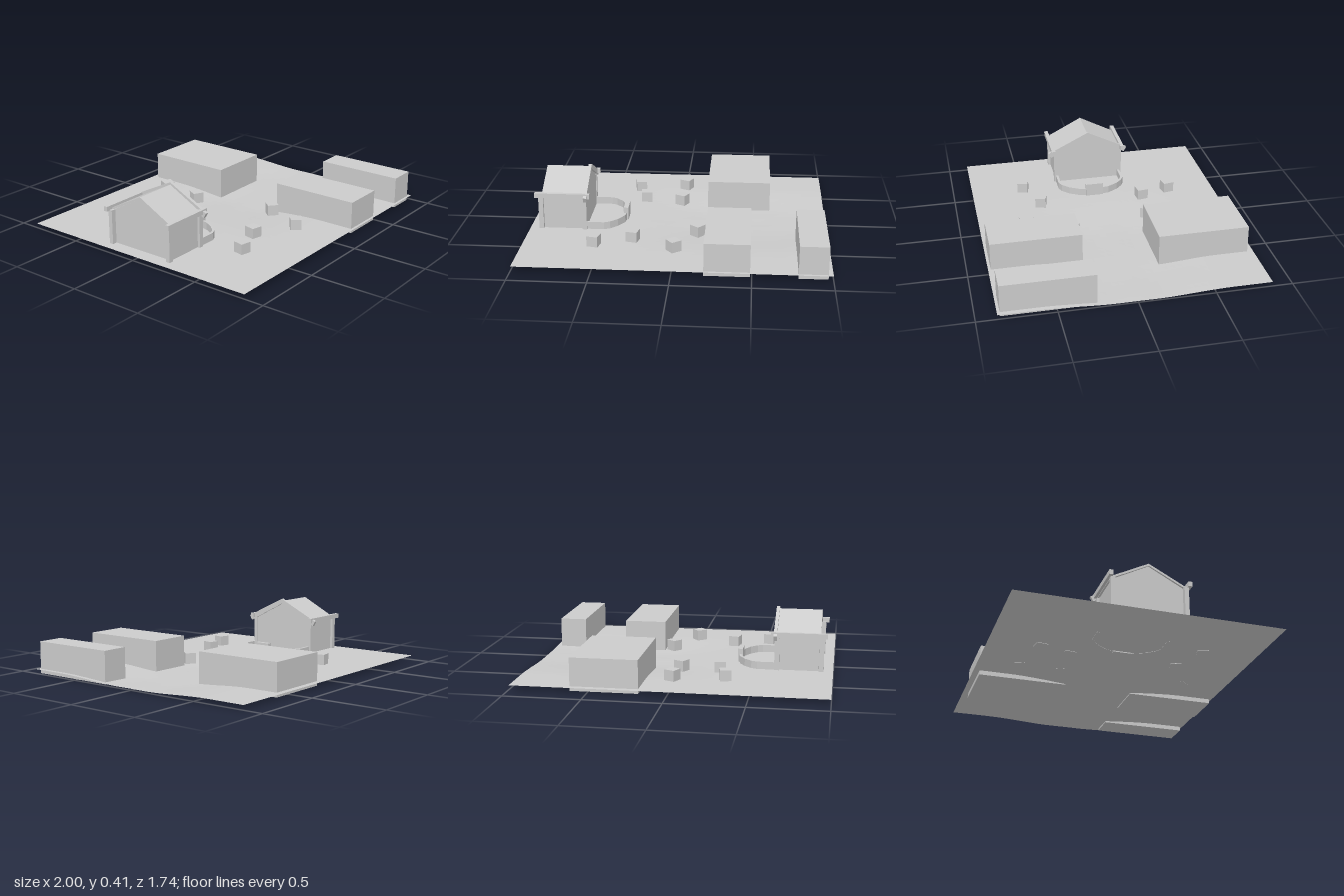
import * as THREE from 'three';

const mat = new THREE.MeshStandardMaterial({ color: 0xcccccc, flatShading: true });
const groundMat = new THREE.MeshStandardMaterial({ color: 0xcccccc, flatShading: true, side: THREE.DoubleSide });
const GROUND = 0.035;

// Box from its minimum and maximum corners
function block(name, [x0, x1], [y0, y1], [z0, z1]) {
  const mesh = new THREE.Mesh(new THREE.BoxGeometry(x1 - x0, y1 - y0, z1 - z0), mat);
  mesh.position.set((x0 + x1) / 2, (y0 + y1) / 2, (z0 + z1) / 2);
  mesh.name = name;
  return mesh;
}

// Closed outline extruded by depth
function prism(name, points, depth) {
  const shape = new THREE.Shape(points.map(([x, y]) => new THREE.Vector2(x, y)));
  const mesh = new THREE.Mesh(new THREE.ExtrudeGeometry(shape, { depth, bevelEnabled: false }), mat);
  mesh.name = name;
  return mesh;
}

// Gable outline (z, y) standing between two x positions
function gable(name, points, x0, x1) {
  const mesh = prism(name, points, x1 - x0);
  mesh.geometry.rotateY(Math.PI / 2);
  mesh.position.x = x0;
  return mesh;
}

function mirrored(points) {
  return [...points, ...points.slice().reverse().filter(([x]) => x !== 0).map(([x, y]) => [-x, y])];
}

// Flat sheet with a shallow basin that runs out at the +x edge
function ground() {
  const geometry = new THREE.PlaneGeometry(2, 1.735, 40, 35).rotateX(-Math.PI / 2);
  const p = geometry.attributes.position;
  const step = THREE.MathUtils.smoothstep;
  for (let i = 0; i < p.count; i++) {
    const x = p.getX(i), z = Math.abs(p.getZ(i));
    const across = 1 - step(z, 0.12, 0.62);
    const along = step(x, -0.42, 0.2) * (1 - 0.25 * step(x, 0.65, 1));
    const ripple = 0.002 * Math.sin(x * 9) * Math.sin(z * 11);
    p.setY(i, GROUND - (0.027 + ripple) * across * along);
  }
  geometry.computeVertexNormals();
  const mesh = new THREE.Mesh(geometry, groundMat);
  mesh.name = 'ground';
  return mesh;
}

function house() {
  const group = new THREE.Group();
  group.name = 'house';

  // Walls and pitched roof
  group.add(gable('walls', mirrored([[0, 0.385], [0.235, 0.26], [0.235, GROUND]]), -0.905, -0.62));
  group.add(gable('roof', mirrored([[0, 0.4], [0.25, 0.27], [0.25, 0.255], [0, 0.385]]), -0.915, -0.622));

  // Barge boards along the front gable
  group.add(gable('bargeBoards',
    mirrored([[0, 0.415], [0.29, 0.272], [0.272, 0.238], [0, 0.38]]), -0.63, -0.608));

  // Corner posts and eaves beams
  for (const s of [-1, 1]) {
    const z = s * 0.238;
    for (const x of [-0.922, -0.63]) {
      group.add(block('cornerPost', [x - 0.016, x + 0.016], [GROUND, 0.265], [z - 0.014, z + 0.014]));
    }
    const b = s * 0.255;
    group.add(block('eavesBeam', [-0.96, -0.59], [0.26, 0.292], [b - 0.013, b + 0.013]));
  }
  return group;
}

// Low curved yard wall with a taller gate block
function yard() {
  const group = new THREE.Group();
  group.name = 'yard';
  const half = (r) => [
    [0.24 - r, -0.62], [0.24 - r, -0.5], [0.222 - r * 0.9, -0.46 - r * 0.4],
    [0.175 - r * 0.75, -0.412 - r * 0.6], [0.105 - r * 0.4, -0.372 - r], [0.06, -0.366 - r],
  ];
  const both = (r) => [...half(r), ...half(r).reverse().map(([z, x]) => [-z, x])];
  const outline = [...both(0), ...both(0.017).reverse()].map(([z, x]) => [x, z]);
  const wall = prism('yardWall', outline, 0.052);
  wall.geometry.rotateX(-Math.PI / 2);
  wall.position.y = GROUND - 0.002;
  group.add(wall);
  group.add(block('gate', [-0.387, -0.355], [0.028, 0.123], [-0.062, 0.062]));
  return group;
}

export function createModel() {
  const model = new THREE.Group();
  model.name = 'settlement';
  model.add(ground(), house(), yard());

  // Large plain buildings
  model.add(block('building', [0.182, 0.618], [0.005, 0.22], [-0.828, -0.227]));
  model.add(block('building', [0.202, 0.49], [0.005, 0.22], [0.25, 0.85]));
  model.add(block('building', [0.787, 0.97], [0.005, 0.22], [0.25, 0.85]));

  // Scattered crates: x, z, base height, turn in degrees
  const crates = [
    [-0.325, -0.53, 0.032, 10], [0.01, -0.582, 0.032, -25],
    [-0.265, -0.325, 0.03, 7], [-0.005, -0.3, 0.022, -27],
    [0.135, 0.255, 0.02, -40], [-0.285, 0.405, 0.03, -12],
    [-0.53, 0.5, 0.031, -12], [-0.005, 0.547, 0.033, 38],
  ];
  for (const [x, z, y, turn] of crates) {
    const crate = block('crate', [-0.037, 0.037], [0, 0.074], [-0.037, 0.037]);
    crate.position.set(x, y + 0.037, z);
    crate.rotation.y = THREE.MathUtils.degToRad(turn);
    model.add(crate);
  }
  return model;
}
